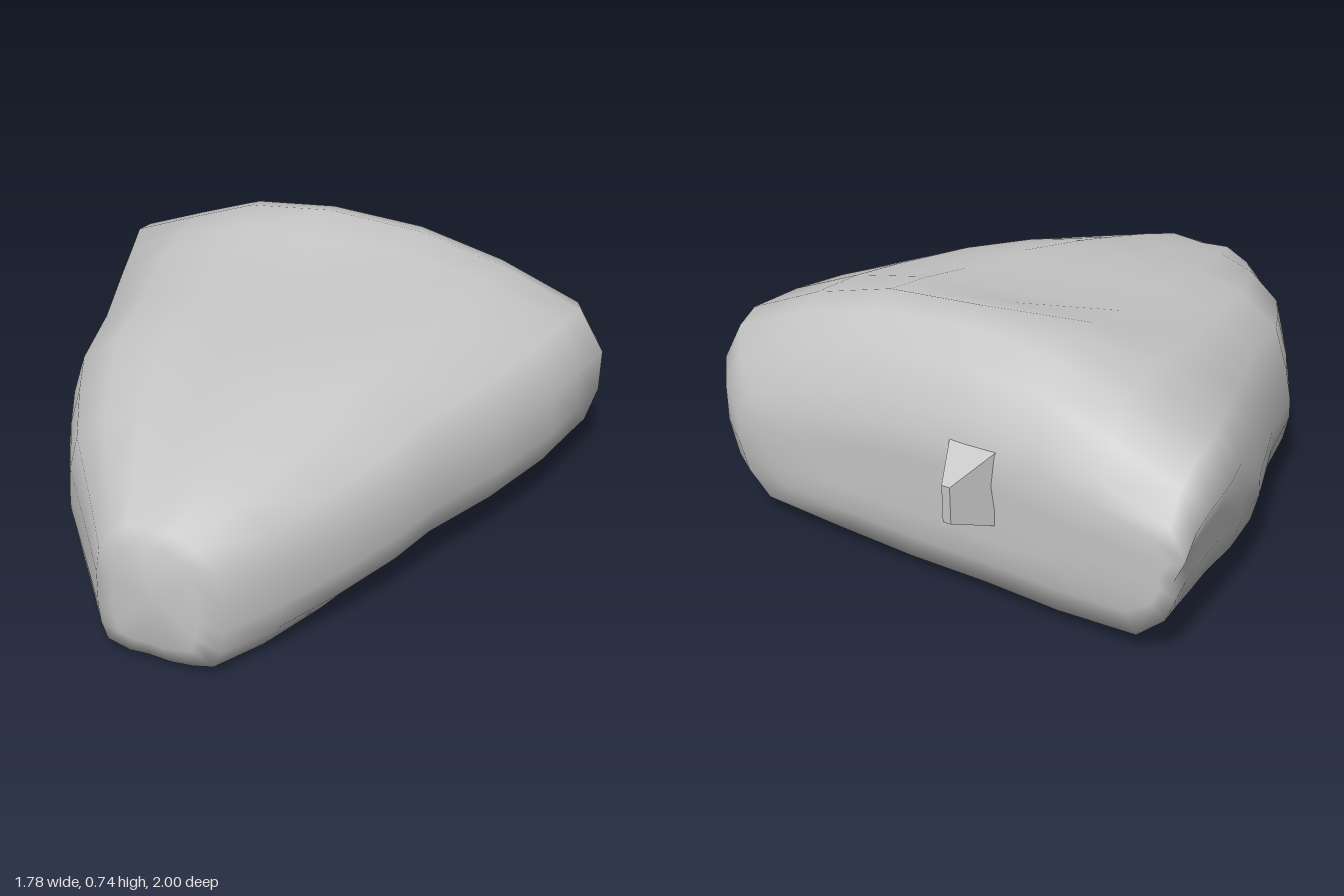
import * as THREE from 'three';

// Outlines of the stone: u from -1 to 1 across, v from 0 to 1 upward.
// The rear one is arched on top, the front one flat with a shallow dish.
const REAR = [
  [-0.82, 0.03], [-0.5, 0], [-0.2, 0.01], [0.15, 0], [0.5, 0.015], [0.86, 0.04],
  [0.96, 0.18], [1, 0.35], [1, 0.54], [0.91, 0.72], [0.6, 0.87], [0.27, 0.97],
  [-0.1, 1], [-0.43, 0.96], [-0.68, 0.85], [-0.94, 0.73], [-1, 0.56], [-0.96, 0.43],
  [-0.97, 0.33], [-0.93, 0.18],
];
const FRONT = [
  [-0.88, 0.05], [-0.5, 0], [-0.2, 0.01], [0.15, 0], [0.5, 0.02], [0.82, 0.07],
  [0.97, 0.2], [1, 0.35], [0.99, 0.56], [0.91, 0.8], [0.6, 0.94], [0.27, 1],
  [-0.1, 0.95], [-0.43, 0.98], [-0.7, 0.91], [-0.9, 0.76], [-0.97, 0.54], [-1, 0.38],
  [-1, 0.28], [-0.97, 0.15],
];

// Sections from nose to back: z, left edge, right edge, bottom, top, share of the front outline
const SECTIONS = [
  [0.99, -0.04, 0.22, 0.08, 0.41, 0.5],
  [0.955, -0.11, 0.28, 0.01, 0.44, 0.6],
  [0.80, -0.24, 0.38, 0.00, 0.51, 0.7],
  [0.60, -0.41, 0.49, 0.01, 0.56, 0.8],
  [0.40, -0.53, 0.58, 0.02, 0.60, 0.9],
  [0.25, -0.61, 0.63, 0.03, 0.63, 1],
  [0.00, -0.68, 0.74, 0.03, 0.66, 1],
  [-0.28, -0.79, 0.83, 0.03, 0.68, 1],
  [-0.46, -0.84, 0.86, 0.02, 0.715, 0.6],
  [-0.62, -0.88, 0.89, 0.015, 0.74, 0],
  [-0.72, -0.89, 0.85, 0.015, 0.715, 0],
  [-0.81, -0.893, 0.76, 0.02, 0.65, 0],
  [-0.865, -0.895, 0.66, 0.04, 0.53, 0],
  [-0.888, -0.86, 0.54, 0.12, 0.46, 0],
  [-0.898, -0.55, 0.34, 0.20, 0.38, 0],
];

function stoneGeometry() {
  const n = REAR.length, last = SECTIONS.length - 1;
  const positions = [], index = [];
  for (const [z, x0, x1, y0, y1, share] of SECTIONS) {
    for (let j = 0; j < n; j++) {
      const u = THREE.MathUtils.lerp(REAR[j][0], FRONT[j][0], share);
      const v = THREE.MathUtils.lerp(REAR[j][1], FRONT[j][1], share);
      positions.push((x0 + x1) / 2 + u * (x1 - x0) / 2, y0 + v * (y1 - y0), z);
    }
  }
  // Skin between neighbouring sections
  for (let i = 0; i < last; i++) {
    for (let j = 0; j < n; j++) {
      const k = (j + 1) % n;
      const a = i * n + j, b = i * n + k, c = a + n, d = b + n;
      index.push(a, c, b, b, c, d);
    }
  }
  // Nose and back caps, the back one slightly hollow
  const nose = positions.length / 3;
  positions.push(0.09, 0.24, 1.0, -0.15, 0.28, -0.885);
  for (let j = 0; j < n; j++) {
    const k = (j + 1) % n;
    index.push(nose, j, k, nose + 1, last * n + k, last * n + j);
  }
  const geometry = new THREE.BufferGeometry();
  geometry.setAttribute('position', new THREE.Float32BufferAttribute(positions, 3));
  geometry.setIndex(index);
  geometry.computeVertexNormals();
  return geometry;
}

// Box tapering to a narrow upright edge at the back
function spurGeometry() {
  const geometry = new THREE.BoxGeometry(0.18, 0.24, 0.14);
  const p = geometry.attributes.position;
  for (let i = 0; i < p.count; i++) {
    if (p.getZ(i) < 0) p.setXY(i, p.getX(i) * 0.15, p.getY(i) * 0.45 - 0.02);
  }
  geometry.computeVertexNormals();
  return geometry;
}

export function createModel() {
  const group = new THREE.Group();
  group.name = 'rock';
  const stoneGrey = new THREE.MeshStandardMaterial({ color: 0xc7c7c7 });
  stoneGrey.name = 'stoneGrey';

  const stone = new THREE.Mesh(stoneGeometry(), stoneGrey);
  stone.name = 'stone';
  group.add(stone);

  const spur = new THREE.Mesh(spurGeometry(), stoneGrey);
  spur.name = 'backSpur';
  spur.position.set(-0.25, 0.36, -0.93);
  group.add(spur);

  return group;
}
